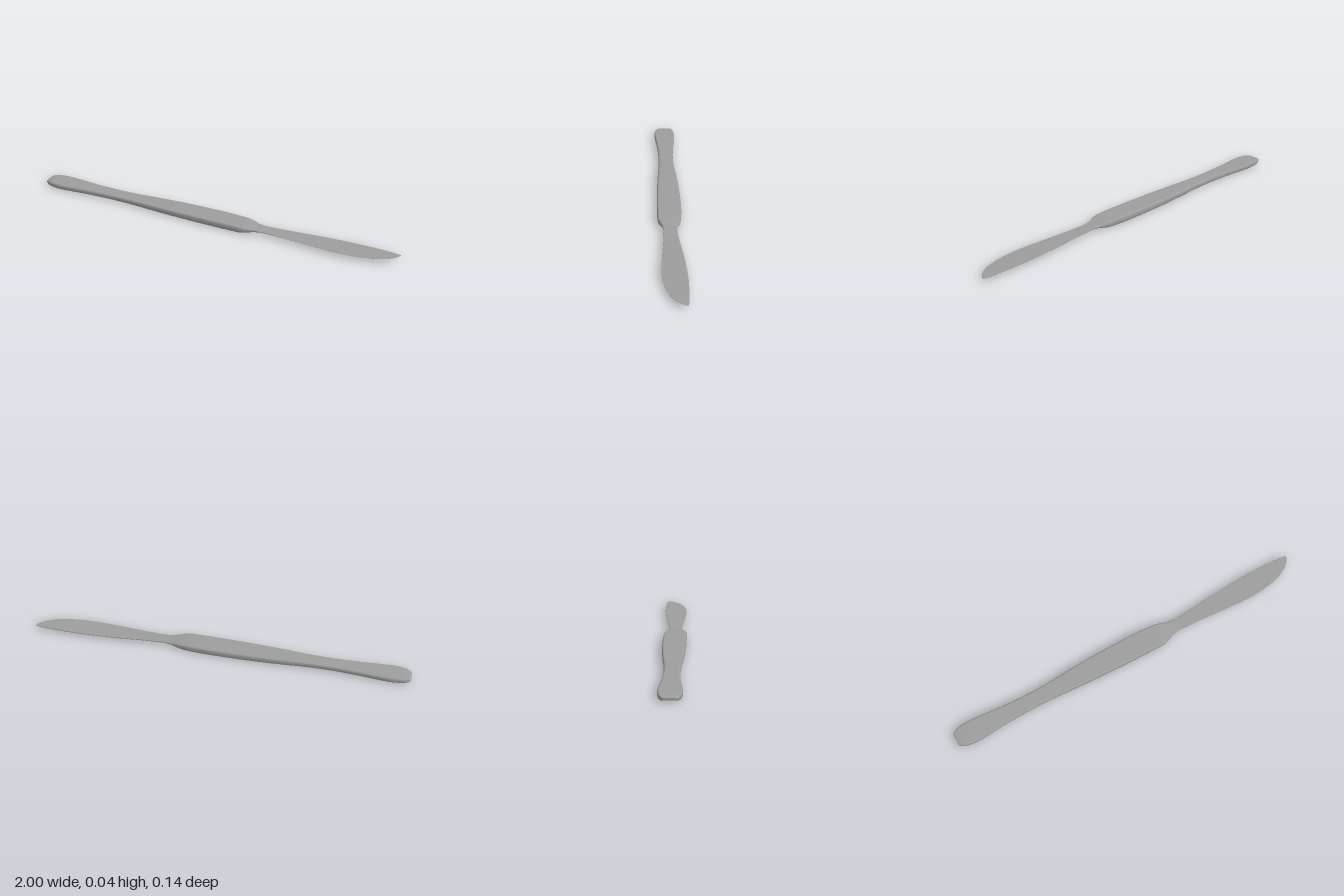
import * as THREE from 'three';

const MID_Y = 0.018;

// Stations: x, back z, front z, half thickness at the back, half thickness at the front
const HANDLE = [
  [-1.0, -0.041, 0.018, 0.006, 0.006],
  [-0.99, -0.051, 0.028, 0.010, 0.010],
  [-0.97, -0.061, 0.038, 0.013, 0.013],
  [-0.92, -0.068, 0.048, 0.0145, 0.0145],
  [-0.85, -0.066, 0.046, 0.0145, 0.0145],
  [-0.74, -0.055, 0.039, 0.014, 0.014],
  [-0.6, -0.046, 0.036, 0.014, 0.014],
  [-0.48, -0.046, 0.039, 0.0145, 0.0145],
  [-0.35, -0.053, 0.048, 0.016, 0.016],
  [-0.2, -0.059, 0.057, 0.0175, 0.0175],
  [0.0, -0.060, 0.065, 0.018, 0.018],
  [0.1, -0.057, 0.067, 0.018, 0.018],
  [0.18, -0.050, 0.067, 0.017, 0.017],
  [0.22, -0.043, 0.056, 0.012, 0.012],
  [0.25, -0.033, 0.046, 0.007, 0.007],
  [0.3, -0.027, 0.041, 0.004, 0.003],
];
const BLADE = [
  [0.3, -0.027, 0.041, 0.004, 0.003],
  [0.4, -0.033, 0.047, 0.0035, 0.0015],
  [0.55, -0.046, 0.059, 0.003, 0.001],
  [0.7, -0.054, 0.068, 0.003, 0.001],
  [0.8, -0.055, 0.063, 0.003, 0.001],
  [0.9, -0.052, 0.042, 0.003, 0.001],
  [0.96, -0.048, 0.012, 0.003, 0.001],
  [0.99, -0.045, -0.016, 0.002, 0.001],
  [1.0, -0.042, -0.034, 0.0015, 0.001],
];

// Flat-topped section with rounded sides, as [z, y] pairs
function section(back, front, hBack, hFront, inset) {
  const r = Math.min(inset, (front - back) * 0.4);
  const ring = [];
  for (let q = 0; q < 4; q++) {
    const isFront = q === 0 || q === 3;
    const last = q % 2 === 0 ? 4 : 3;
    for (let k = 0; k <= last; k++) {
      const a = (q + k / 4) * Math.PI / 2;
      const c = Math.pow(Math.abs(Math.cos(a)), 0.75);
      const s = Math.pow(Math.abs(Math.sin(a)), 0.75) * (q < 2 ? 1 : -1);
      const z = isFront ? front - r + r * c : back + r - r * c;
      const h = THREE.MathUtils.lerp(hBack, hFront, (z - back) / (front - back));
      ring.push([z, MID_Y + h * s]);
    }
  }
  return ring;
}

// Smooth skin through the stations, closed at both ends
function loft(stations, inset) {
  const outline = new THREE.CatmullRomCurve3(
    stations.map(([x, b, f]) => new THREE.Vector3(x, b, f)));
  const steps = (stations.length - 1) * 5;
  const pos = [], index = [], rings = [];
  for (let i = 0; i <= steps; i++) {
    const p = outline.getPoint(i / steps);
    const k = Math.min(Math.floor(i / 5), stations.length - 2);
    const t = i / 5 - k;
    const h = [3, 4].map(n => THREE.MathUtils.lerp(stations[k][n], stations[k + 1][n], t));
    const ring = section(p.y, p.z, h[0], h[1], inset).map(([z, y]) => [p.x, y, z]);
    rings.push(ring);
    pos.push(...ring.flat());
  }
  const n = rings[0].length;
  for (let i = 0; i < steps; i++) {
    for (let j = 0; j < n; j++) {
      const a = i * n + j, b = i * n + (j + 1) % n;
      index.push(a, a + n, b, b, a + n, b + n);
    }
  }
  // End caps with their own vertices, so the rims stay crisp
  [rings[0], rings[steps]].forEach((ring, end) => {
    const base = pos.length / 3;
    const midZ = ring.reduce((sum, p) => sum + p[2], 0) / n;
    pos.push(...ring.flat(), ring[0][0], MID_Y, midZ);
    for (let j = 0; j < n; j++) {
      const a = base + j, b = base + (j + 1) % n;
      index.push(base + n, end ? b : a, end ? a : b);
    }
  });
  const geo = new THREE.BufferGeometry();
  geo.setAttribute('position', new THREE.Float32BufferAttribute(pos, 3));
  geo.setIndex(index);
  geo.computeVertexNormals();
  return geo;
}

export function createModel() {
  const group = new THREE.Group();
  group.name = 'tableKnife';
  // Dull steel grey
  const material = new THREE.MeshStandardMaterial({ color: 0x9d9d9d });
  const add = (name, geometry) => {
    const mesh = new THREE.Mesh(geometry, material);
    mesh.name = name;
    group.add(mesh);
  };
  add('handle', loft(HANDLE, 0.011));
  add('blade', loft(BLADE, 0.004));
  return group;
}
